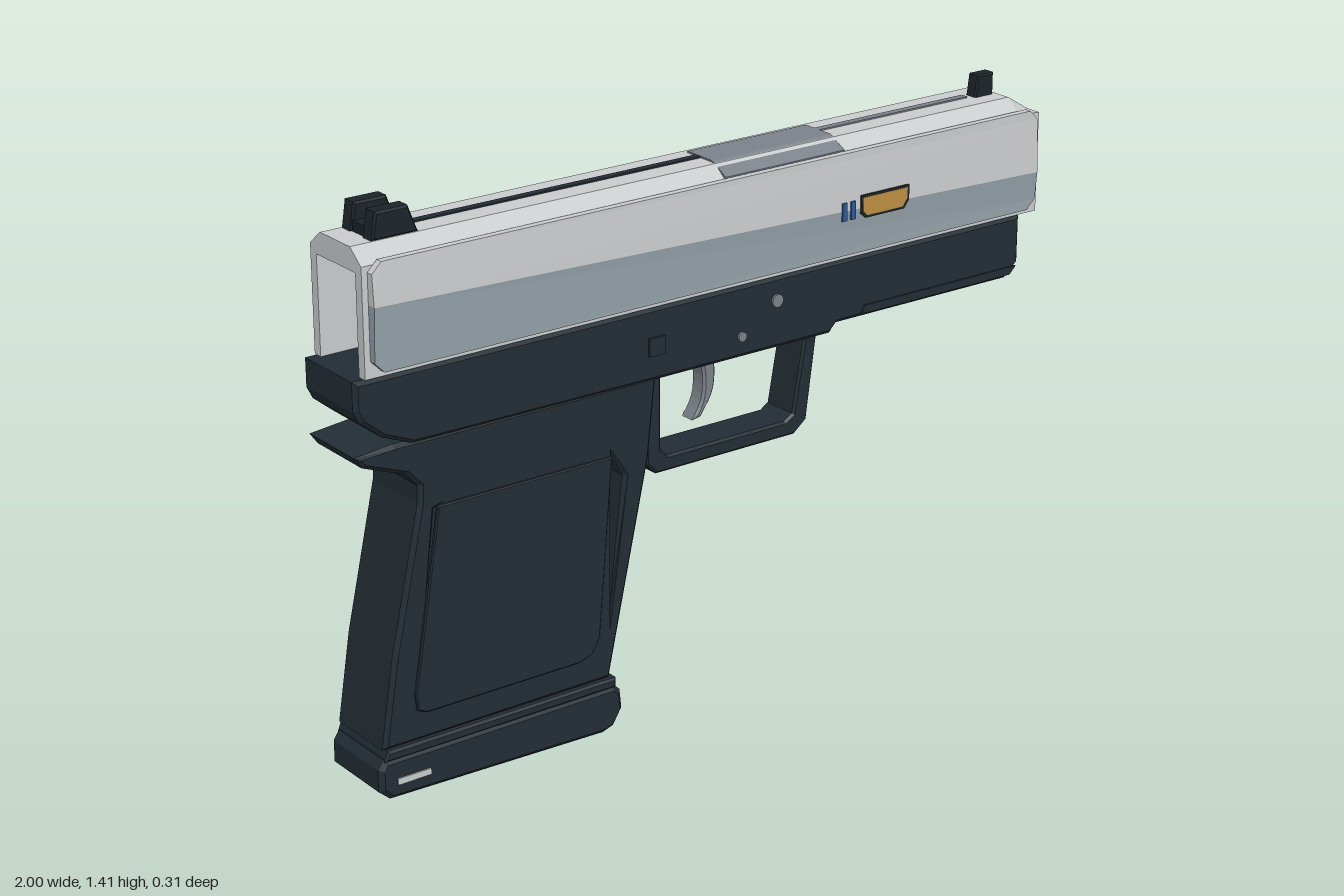
import * as THREE from 'three';

const mat = (name, color, side = THREE.FrontSide) => {
  const m = new THREE.MeshStandardMaterial({ color, side });
  m.name = name;
  return m;
};
const silver = mat('silver', 0xc9cccd);
const steel = mat('steel blue grey', 0x95a1aa);
const dark = mat('dark polymer', 0x232d35);
const black = mat('sight black', 0x1c2429);
const gun = mat('gunmetal', 0x7b828a);
const gold = mat('gold', 0xbc8f40);
const blue = mat('blue', 0x2d5a9c);

const toShape = (pts, holes = []) => {
  const s = new THREE.Shape(pts.map(p => new THREE.Vector2(...p)));
  s.holes = holes.map(h => (h instanceof THREE.Path ? h : new THREE.Path(h.map(p => new THREE.Vector2(...p)))));
  return s;
};

export function createModel() {
  const model = new THREE.Group();
  const body = new THREE.Group();
  body.name = 'pistol';
  body.position.z = 0.025;
  model.add(body);
  const H = 0.105; // half width of the slide

  const add = (name, geo, material, x = 0, y = 0, z = 0) => {
    const m = new THREE.Mesh(geo, material);
    m.name = name;
    m.position.set(x, y, z);
    body.add(m);
    return m;
  };
  // Side outline in x, y extruded across the width
  const prism = (name, pts, w, material, { bevel = 0, holes = [], z = 0 } = {}) => {
    const geo = new THREE.ExtrudeGeometry(toShape(pts, holes), {
      depth: w - 2 * bevel, bevelEnabled: bevel > 0, bevelSize: bevel,
      bevelThickness: bevel, bevelOffset: -bevel, bevelSegments: 1,
    });
    geo.translate(0, 0, -w / 2 + bevel);
    return add(name, geo, material, 0, 0, z);
  };
  // Cross-section in z, y extruded from x0 to x1
  const run = (name, pts, x0, x1, material, holes) => {
    const geo = new THREE.ExtrudeGeometry(toShape(pts.map(([z, y]) => [-z, y]), holes), { depth: x1 - x0, bevelEnabled: false });
    geo.rotateY(Math.PI / 2).translate(x0, 0, 0);
    return add(name, geo, material);
  };
  const box = (name, w, h, d, material, x, y, z = 0) => add(name, new THREE.BoxGeometry(w, h, d), material, x, y, z);
  const disc = (name, r, d, material, x, y, z, n = 16) =>
    add(name, new THREE.CylinderGeometry(r, r, d, n).rotateX(Math.PI / 2), material, x, y, z);

  // Hollow slide, open at the rear
  const roof = [[H, 1.31], [0.062, 1.345], [-0.062, 1.345], [-H, 1.31]];
  run('slide', [[H, 1.05], ...roof, [-H, 1.05], [-0.08, 1.05], [-0.08, 1.29], [0.08, 1.29], [0.08, 1.05]], -0.97, 0.93, silver);
  const rodHole = new THREE.Path().absarc(0, 1.08, 0.024, 0, Math.PI * 2, true);
  const nose = run('slideNose', [[H, 1.05], ...roof, [-H, 1.05]], 0.93, 0.995, silver, [rodHole]);
  const np = nose.geometry.attributes.position;
  for (let i = 0; i < np.count; i++) { // slope the top of the nose
    if (np.getX(i) > 0.97) np.setY(i, Math.min(np.getY(i), 1.305));
  }
  nose.geometry.computeVertexNormals();

  // Muzzle
  const muzzle = (name, r, d, m, x) =>
    add(name, new THREE.CylinderGeometry(r, r, d, 16).rotateZ(Math.PI / 2), m, x, 1.17, 0);
  muzzle('muzzleRing', 0.047, 0.006, gun, 0.996);
  const ring = add('muzzleLip', new THREE.TorusGeometry(0.029, 0.005, 6, 20), black, 0.998, 1.17, 0);
  ring.rotation.y = Math.PI / 2;
  muzzle('barrelBore', 0.024, 0.004, gun, 0.999);

  // Bulging two-tone side panels, gold plates and blue bars on both sides
  const lower = [[-0.93, 1.065], [0.95, 1.065], [0.975, 1.09], [0.975, 1.16], [-0.955, 1.22], [-0.955, 1.09]];
  const upper = [[-0.955, 1.22], [0.975, 1.16], [0.975, 1.295], [0.95, 1.32], [-0.93, 1.32], [-0.955, 1.295]];
  for (const s of [1, -1]) {
    const side = s > 0 ? 'Front' : 'Back';
    for (const [name, pts, m] of [['lowerPanel', lower, steel], ['upperPanel', upper, silver]]) {
      const geo = prism(name + side, pts, 0.018, m, { z: s * (H + 0.009) }).geometry;
      const p = geo.attributes.position;
      for (let i = 0; i < p.count; i++) {
        if (p.getZ(i) * s > 0 && p.getY(i) > 1.12 && p.getY(i) < 1.26) p.setZ(i, s * 0.015);
      }
      geo.computeVertexNormals();
    }
    const zp = s * (H + 0.023);
    const tag = (g, f) => [[0.405 + g, 1.165 + g], [0.405 + g, 1.21 - g], [0.555 - g, 1.21 - g], [0.555 - g, 1.172 + g], [0.54 - g, 1.152 + g], [0.42 + f, 1.152 + g]];
    prism('goldPlateRim' + side, tag(0, 0), 0.007, black, { z: zp });
    prism('goldPlate' + side, tag(0.006, 0.004), 0.009, gold, { z: zp });
    for (const x of [0.355, 0.381]) box('blueBar' + side, 0.014, 0.045, 0.009, blue, x, 1.178, zp);

    // Frame pins, rail lip and grip panel
    disc('largePin' + side, 0.016, 0.008, gun, 0.17, 0.99, s * 0.109);
    disc('smallPin' + side, 0.012, 0.008, gun, 0.065, 0.922, s * 0.109);
    box('squarePin' + side, 0.045, 0.045, 0.008, s > 0 ? dark : gun, -0.185, 0.955, s * 0.109);
    prism('railLip' + side, [[0.43, 0.9], [0.91, 0.9], [0.93, 0.92], [0.44, 0.92]], 0.006, dark, { z: s * 0.109 });
    prism('gripPanel' + side, [[-0.795, 0.71], [-0.87, 0.26], [-0.865, 0.22], [-0.84, 0.21], [-0.41, 0.21], [-0.375, 0.225], [-0.355, 0.26], [-0.315, 0.71]],
      0.012, dark, { bevel: 0.003, z: s * 0.105 });
    box('basePlateMark' + side, 0.09, 0.016, 0.006, silver, -0.88, 0.058, s * 0.108);
  }

  // Ejection port and top rib
  run('ejectionPort', [[-0.045, 1.343], [-0.045, 1.349], [0.05, 1.349], [0.102, 1.322], [0.102, 1.31], [0.06, 1.343]], 0.02, 0.375, gun);
  box('topGrooveRear', 0.8, 0.005, 0.02, dark, -0.38, 1.346, -0.004);
  box('topGrooveFront', 0.47, 0.005, 0.02, gun, 0.61, 1.346, -0.004);

  // Sights
  for (const z of [-0.043, 0.043]) {
    prism('rearSightPost', [[-0.915, 1.345], [-0.795, 1.345], [-0.82, 1.41], [-0.905, 1.41]], 0.042, black, { bevel: 0.005, z });
  }
  box('rearSightBase', 0.11, 0.03, 0.1, black, -0.855, 1.355);
  prism('frontSight', [[0.86, 1.34], [0.92, 1.34], [0.92, 1.4], [0.868, 1.4]], 0.036, black, { bevel: 0.004 });

  // Frame
  prism('frame', [[-1, 1.05], [-1, 0.98], [-0.985, 0.95], [-0.93, 0.905], [-0.85, 0.872], [-0.18, 0.868], [0.34, 0.868],
    [0.36, 0.89], [0.905, 0.89], [0.945, 0.925], [0.945, 1.05]], 0.214, dark, { bevel: 0.01 });
  for (const x of [0.52, 0.64, 0.76]) box('railSlot', 0.04, 0.01, 0.12, black, x, 0.889);

  // Grip with narrow openings behind the straps
  prism('grip', [[-1, 0.87], [-0.98, 0.842], [-0.87, 0.8], [-0.838, 0.765], [-0.84, 0.72], [-0.92, 0.36], [-0.955, 0.14],
    [-0.32, 0.14], [-0.2, 0.68], [-0.178, 0.88], [-0.9, 0.88]], 0.205, dark, {
    bevel: 0.01,
    holes: [[[-0.312, 0.715], [-0.275, 0.65], [-0.32, 0.28]], [[-0.788, 0.705], [-0.798, 0.7], [-0.83, 0.5]]],
  });
  const mag = box('magazineFront', 0.008, 0.036, 0.15, gun, -0.315, 0.159);
  mag.rotation.z = -0.21;

  // Magazine base plate
  prism('basePlate', [[-0.97, 0.04], [-0.94, 0.014], [-0.34, 0], [-0.31, 0.01], [-0.285, 0.05], [-0.29, 0.1], [-0.31, 0.118],
    [-0.955, 0.118], [-0.97, 0.095]], 0.215, dark, { bevel: 0.012 });
  prism('basePlateTop', [[-0.955, 0.112], [-0.305, 0.112], [-0.305, 0.138], [-0.945, 0.138]], 0.212, dark, { bevel: 0.006 });
  box('magazineNeck', 0.6, 0.02, 0.16, black, -0.63, 0.138);

  // Trigger guard and trigger
  prism('triggerGuard', [[-0.175, 0.88], [-0.175, 0.635], [-0.145, 0.605], [0.275, 0.605], [0.312, 0.635], [0.345, 0.88]], 0.105, dark, {
    bevel: 0.006,
    holes: [[[-0.13, 0.865], [0.305, 0.865], [0.268, 0.66], [0.245, 0.645], [-0.11, 0.645], [-0.13, 0.665]]],
  });
  const curve = pts => new THREE.CatmullRomCurve3(pts.map(p => new THREE.Vector3(...p, 0))).getPoints(10).map(p => [p.x, p.y]);
  prism('trigger', [...curve([[-0.01, 0.88], [0.015, 0.82], [0.012, 0.75], [-0.015, 0.7]]),
    ...curve([[0.01, 0.705], [0.045, 0.76], [0.052, 0.82], [0.04, 0.88]])], 0.05, gun, { bevel: 0.006 });

  // Controls on the back side: slide catch, ridged button and lanyard ring
  prism('slideCatch', [[-0.1, 0.975], [-0.085, 0.965], [0.09, 0.97], [0.11, 0.985], [0.11, 1.005], [0.095, 1.015], [-0.1, 1.01]],
    0.024, gun, { bevel: 0.004, z: -0.114 });
  box('magazineButton', 0.07, 0.085, 0.02, blue, -0.275, 0.708, -0.107);
  for (let i = 0; i < 4; i++) box('buttonRidge', 0.07, 0.011, 0.012, blue, -0.275, 0.677 + i * 0.021, -0.12);
  disc('ringBoss', 0.035, 0.016, dark, -0.885, 0.945, -0.112);
  const loop = add('lanyardRing', new THREE.TorusGeometry(0.026, 0.011, 8, 20), dark, -0.885, 0.945, -0.142);
  loop.rotation.x = Math.PI / 2;

  return model;
}
